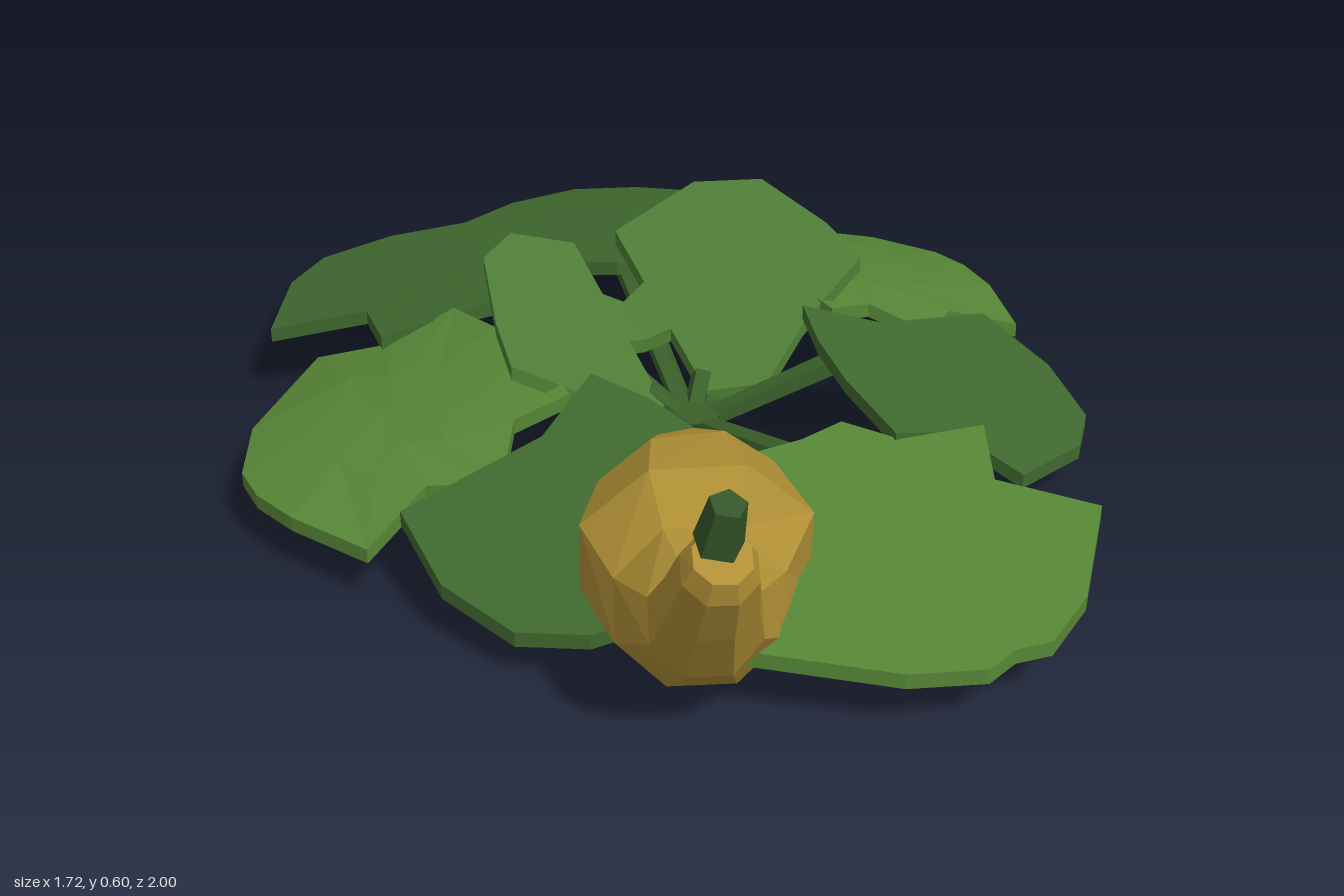
import * as THREE from 'three';

const mat = (color) => new THREE.MeshStandardMaterial({ color, flatShading: true });
const lightGreen = mat(0x568636), darkGreen = mat(0x40692f), midGreen = mat(0x4f7e36);
const stemGreen = mat(0x3a6029), stalkGreen = mat(0x35562a), gold = mat(0xb09036);

function mesh(geometry, material, name) {
  const m = new THREE.Mesh(geometry, material);
  m.name = name;
  return m;
}

function indexed(positions, index) {
  const g = new THREE.BufferGeometry();
  g.setAttribute('position', new THREE.Float32BufferAttribute(positions, 3));
  g.setIndex(index);
  g.computeVertexNormals();
  return g;
}

// Thick leaf: an [x, z] outline fanned around a centre, its top surface following height(x, z)
function leafGeometry(outline, centre, height, side = 1, thick = 0.03) {
  const pts = side > 0 ? outline : [...outline].reverse();
  const n = pts.length, pos = [], idx = [];
  for (const drop of [0, thick]) {
    for (const s of [1, 0.5, 0]) {
      for (const [px, pz] of s ? pts : [centre]) {
        const x = centre[0] + (px - centre[0]) * s, z = centre[1] + (pz - centre[1]) * s;
        pos.push(side * x, height(x, z) - drop, z);
      }
    }
  }
  const b = 2 * n + 1;
  for (let i = 0; i < n; i++) {
    const j = (i + 1) % n;
    idx.push(i, n + j, j, i, n + i, n + j, n + i, 2 * n, n + j);
    idx.push(b + i, b + j, b + n + j, b + i, b + n + j, b + n + i, b + n + i, b + n + j, b + 2 * n);
    idx.push(i, j, b + j, i, b + j, b + i);
  }
  return indexed(pos, idx);
}

// Full outline from its +x half, listed from one end of the midline to the other
const mirrored = (half) => [...half, ...half.filter((p) => p[0] > 0).reverse().map(([x, z]) => [-x, z])];

// Tapered stem between two points
function stem(from, to, r0, r1, sides, material, name) {
  const a = new THREE.Vector3(...from), d = new THREE.Vector3(...to).sub(a);
  const m = mesh(new THREE.CylinderGeometry(r1, r0, d.length(), sides), material, name);
  m.position.copy(a).addScaledVector(d, 0.5);
  m.quaternion.setFromUnitVectors(new THREE.Vector3(0, 1, 0), d.normalize());
  return m;
}

// Closed loft of rings [x, y, z, radius] across a bent centre line
function loft(rings, sides) {
  const c = rings.map((r) => new THREE.Vector3(r[0], r[1], r[2]));
  const across = new THREE.Vector3(0.88, 0, 0.48).normalize();
  const pos = [], idx = [];
  rings.forEach((r, i) => {
    const t = c[Math.min(i + 1, c.length - 1)].clone().sub(c[Math.max(i - 1, 0)]).normalize();
    const u = across.clone().addScaledVector(t, -across.dot(t)).normalize();
    const v = t.clone().cross(u);
    for (let k = 0; k < sides; k++) {
      const a = ((k + 0.5) / sides) * Math.PI * 2;
      const p = c[i].clone().addScaledVector(u, Math.cos(a) * r[3]).addScaledVector(v, Math.sin(a) * r[3]);
      pos.push(p.x, p.y, p.z);
    }
  });
  const last = (rings.length - 1) * sides, capA = pos.length / 3, capB = capA + 1;
  pos.push(...c[0].toArray(), ...c[c.length - 1].toArray());
  for (let k = 0; k < sides; k++) {
    const l = (k + 1) % sides;
    for (let o = 0; o < last; o += sides) {
      idx.push(o + k, o + l, o + sides + l, o + k, o + sides + l, o + sides + k);
    }
    idx.push(capA, l, k, capB, last + k, last + l);
  }
  return indexed(pos, idx);
}

export function createModel() {
  const plant = new THREE.Group();
  plant.name = 'squashPlant';

  // Leaves on the midline
  const back = mirrored([[0, -0.94], [0.16, -1], [0.33, -1], [0.45, -0.91], [0.6, -0.68], [0.43, -0.57],
    [0.48, -0.4], [0.3, -0.38], [0.18, -0.35], [0.06, -0.37], [0, -0.45]]);
  plant.add(mesh(leafGeometry(back, [0, -0.67],
    (x, z) => 0.27 + 0.21 * (z + 0.4) - 0.1 * x * x), darkGreen, 'backLeaf'));
  const front = mirrored([[0, 0.37], [0.1, 0.36], [0.17, 0.45], [0.35, 0.48], [0.26, 0.62], [0.4, 0.76],
    [0.2, 0.94], [0.07, 1], [0, 0.985]]);
  plant.add(mesh(leafGeometry(front, [0, 0.66],
    (x, z) => 0.235 - 0.165 * (z - 0.37) - 0.1 * x * x), lightGreen, 'frontLeaf'));

  // Paired leaves, given for the +x side
  const pairs = [
    { name: 'SideLeaf', material: lightGreen, centre: [0.58, -0.19],
      outline: [[0.32, -0.39], [0.46, -0.4], [0.56, -0.54], [0.77, -0.4], [0.85, -0.27], [0.86, -0.18],
        [0.84, -0.07], [0.77, 0.1], [0.62, 0.05], [0.51, 0.14], [0.42, 0.03], [0.31, 0.05], [0.29, -0.1],
        [0.31, -0.24]],
      height: (x, z) => 0.28 - 0.31 * (x - 0.36) - 0.4 * (z + 0.16) ** 2 },
    { name: 'FrontSideLeaf', material: darkGreen, centre: [0.43, 0.29],
      outline: [[0.25, 0.03], [0.4, 0.1], [0.69, 0.08], [0.71, 0.27], [0.66, 0.44], [0.56, 0.53], [0.35, 0.6],
        [0.3, 0.46], [0.16, 0.45], [0.17, 0.28], [0.2, 0.15]],
      height: (x, z) => 0.29 - 0.33 * (0.8 * x + 0.6 * z - 0.23) },
    // Steep leaves rising outward from the root, the inner lobes meeting on the midline
    { name: 'UpperLeaf', material: midGreen, centre: [0.2, -0.15],
      outline: [[0.05, -0.25], [0.05, -0.36], [0.22, -0.32], [0.33, -0.23], [0.39, -0.08], [0.41, 0.01],
        [0.26, 0.02], [0.15, 0.05], [0.05, -0.02], [0.05, -0.15], [0, -0.17], [0, -0.25]],
      height: (x, z) => 0.09 + 0.65 * (x - z) },
  ];
  for (const side of [1, -1]) {
    const label = side > 0 ? 'left' : 'right';
    for (const p of pairs) {
      plant.add(mesh(leafGeometry(p.outline, p.centre, p.height, side), p.material, label + p.name));
    }
    const ends = { BackStem: [0.11, 0.235, -0.42], SideStem: [0.38, 0.24, -0.1],
      FrontSideStem: [0.26, 0.23, 0.16], UpperStem: [0.07, 0.15, -0.06] };
    for (const [name, [x, y, z]] of Object.entries(ends)) {
      plant.add(stem([0, 0.08, 0], [side * x, y, z], 0.022, 0.026, 5, stemGreen, label + name));
    }
  }
  plant.add(stem([0, 0.08, 0], [0, 0.185, 0.4], 0.03, 0.036, 5, stemGreen, 'frontStem'));

  // Root crown
  plant.add(stem([0, 0.025, 0], [0, 0.12, 0], 0.022, 0.072, 6, stemGreen, 'rootCrown'));

  // Squash: round body bending up into a slim neck
  const squash = loft([
    [-0.26, 0.27, 0.335, 0.085], [-0.285, 0.235, 0.41, 0.17], [-0.35, 0.207, 0.54, 0.219],
    [-0.415, 0.185, 0.65, 0.158], [-0.475, 0.25, 0.755, 0.102], [-0.515, 0.355, 0.83, 0.08],
    [-0.545, 0.455, 0.895, 0.066], [-0.55, 0.485, 0.91, 0.05],
  ], 8);
  plant.add(mesh(squash, gold, 'squash'));
  plant.add(stem([-0.56, 0.515, 0.912], [-0.56, 0.6, 0.938], 0.042, 0.031, 5, stalkGreen, 'squashStalk'));
  return plant;
}
